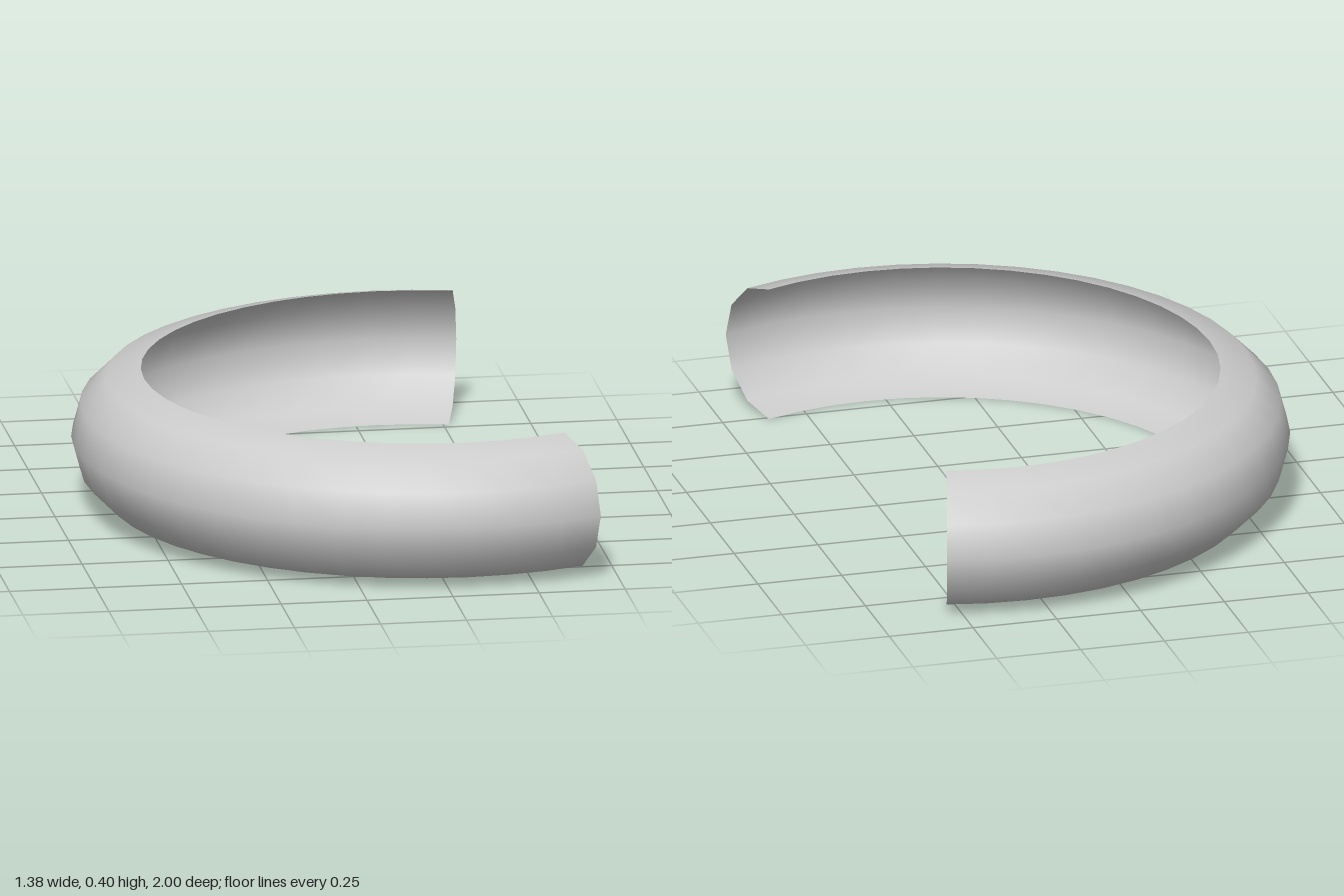
import * as THREE from 'three';

const RING_RADIUS = 0.8;
const TUBE_RADIUS = 0.2;
const PROFILE_STEPS = 6;
const STEP = Math.PI / 24; // 48 segments to a full turn
const SEGMENTS = 29;

export function createModel() {
  const group = new THREE.Group();
  group.name = 'openRing';

  // Half-round profile, open towards the ring's axis, from bottom to top
  const profile = [];
  for (let i = 0; i <= PROFILE_STEPS; i++) {
    const a = -Math.PI / 2 + (Math.PI * i) / PROFILE_STEPS;
    profile.push(new THREE.Vector2(
      RING_RADIUS + TUBE_RADIUS * Math.cos(a),
      TUBE_RADIUS + TUBE_RADIUS * Math.sin(a),
    ));
  }

  // Sweep from the back end, round the right side, to the front end
  const geometry = new THREE.LatheGeometry(profile, SEGMENTS, -26 * STEP, SEGMENTS * STEP);
  const shell = new THREE.Mesh(
    geometry,
    new THREE.MeshStandardMaterial({ color: 0xcccccc, side: THREE.DoubleSide }),
  );
  shell.name = 'curvedShell';

  // Centre the arc's extent on x = 0
  shell.position.x = (1 - Math.sin(3 * STEP)) / 2;
  group.add(shell);
  return group;
}
